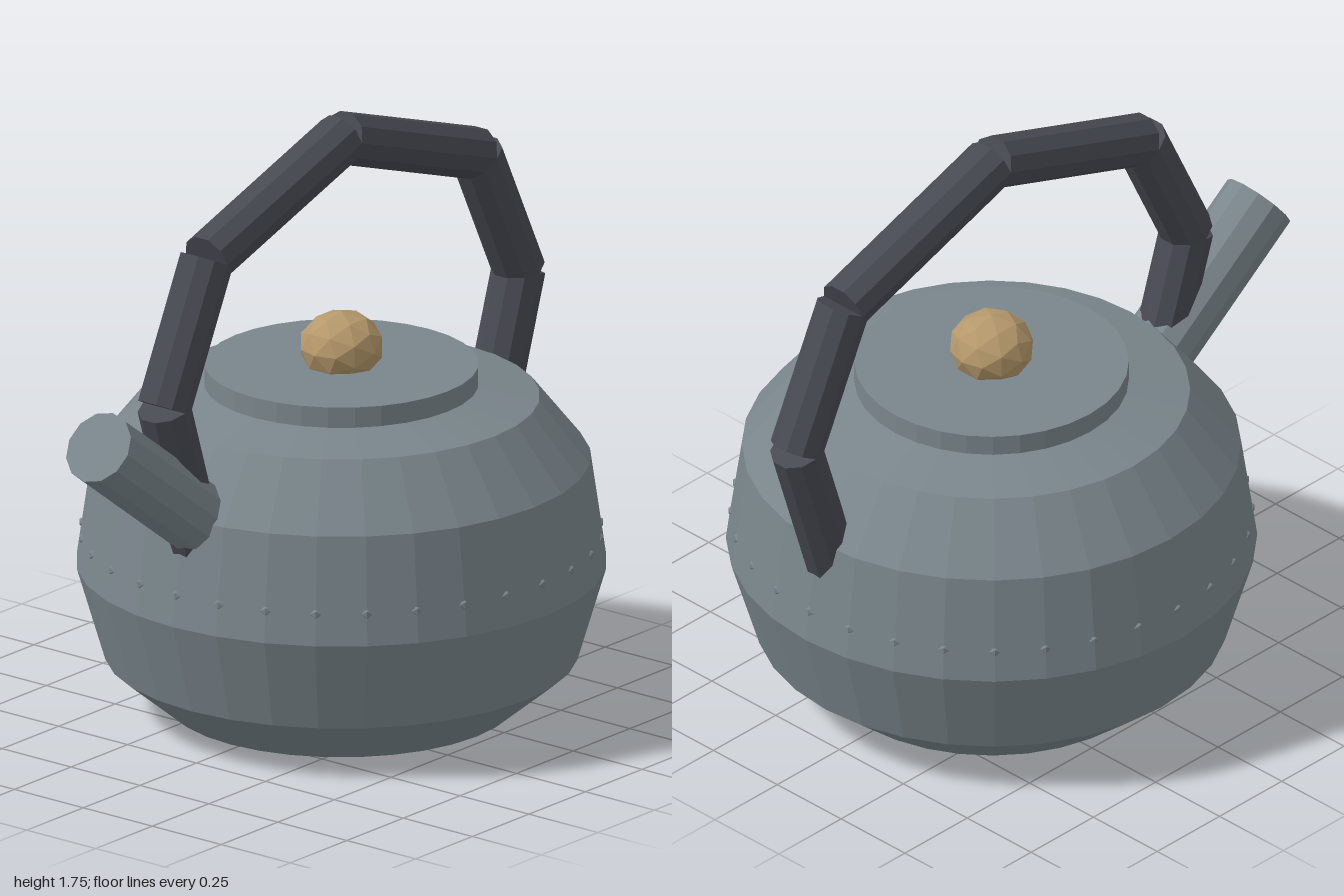
import * as THREE from 'three';

const CX = 0.14; // axis of the pot body
const SIDES = 32;

const mat = (color) => new THREE.MeshStandardMaterial({ color, flatShading: true });

function add(parent, name, geometry, material, x = 0, y = 0, z = 0) {
  const mesh = new THREE.Mesh(geometry, material);
  mesh.name = name;
  mesh.position.set(x, y, z);
  parent.add(mesh);
  return mesh;
}

// Straight round bar between two points in the z = 0 plane
function bar(parent, name, [x0, y0], [x1, y1], radius, sides, material) {
  const length = Math.hypot(x1 - x0, y1 - y0);
  const geometry = new THREE.CylinderGeometry(radius, radius, length, sides);
  const mesh = add(parent, name, geometry, material, (x0 + x1) / 2, (y0 + y1) / 2);
  mesh.rotation.z = Math.atan2(y1 - y0, x1 - x0) - Math.PI / 2;
  return mesh;
}

export function createModel() {
  const model = new THREE.Group();
  model.name = 'teapot';
  const iron = mat(0x7a868c);
  const darkIron = mat(0x484a53);
  const wood = mat(0xb5986b);

  // Pot body, closed at the base and the shoulder
  const profile = [
    [0, 0], [0.27, 0.003], [0.49, 0.015], [0.665, 0.16], [0.745, 0.43],
    [0.7, 0.74], [0.557, 0.92], [0.385, 0.955], [0, 0.955],
  ].map(([r, y]) => new THREE.Vector2(r, y));
  add(model, 'body', new THREE.LatheGeometry(profile, SIDES), iron, CX);

  // Lid and knob
  add(model, 'lid', new THREE.CylinderGeometry(0.385, 0.385, 0.075, SIDES), iron, CX, 0.9775);
  const knob = add(model, 'lidKnob', new THREE.IcosahedronGeometry(0.12, 1), wood, CX, 1.068);
  knob.scale.y = 0.85;

  // Spout
  bar(model, 'spout', [-0.33, 0.602], [-0.933, 1.05], 0.106, 12, iron);

  // Ring of tiny studs around the belly
  const studs = new THREE.Group();
  studs.name = 'studs';
  studs.position.set(CX, 0.52, 0);
  model.add(studs);
  const studGeometry = new THREE.IcosahedronGeometry(0.018, 0);
  for (let i = 0; i < SIDES; i++) {
    const a = (i / SIDES) * Math.PI * 2;
    const stud = add(studs, 'stud', studGeometry, iron, Math.sin(a) * 0.722, 0, Math.cos(a) * 0.722);
    stud.rotation.y = a;
  }

  // Arched handle of straight segments, mirrored about the body axis
  const handle = new THREE.Group();
  handle.name = 'handle';
  handle.position.x = CX;
  model.add(handle);
  const arch = [[0.62, 0.58], [0.783, 1.09], [0.595, 1.48], [0, 1.683]];
  for (const side of [-1, 1]) {
    for (let i = 0; i < arch.length - 1; i++) {
      const [a, b] = [arch[i], arch[i + 1]].map(([x, y]) => [x * side, y]);
      bar(handle, 'handleSegment', a, b, 0.076, 10, darkIron);
    }
  }

  return model;
}
